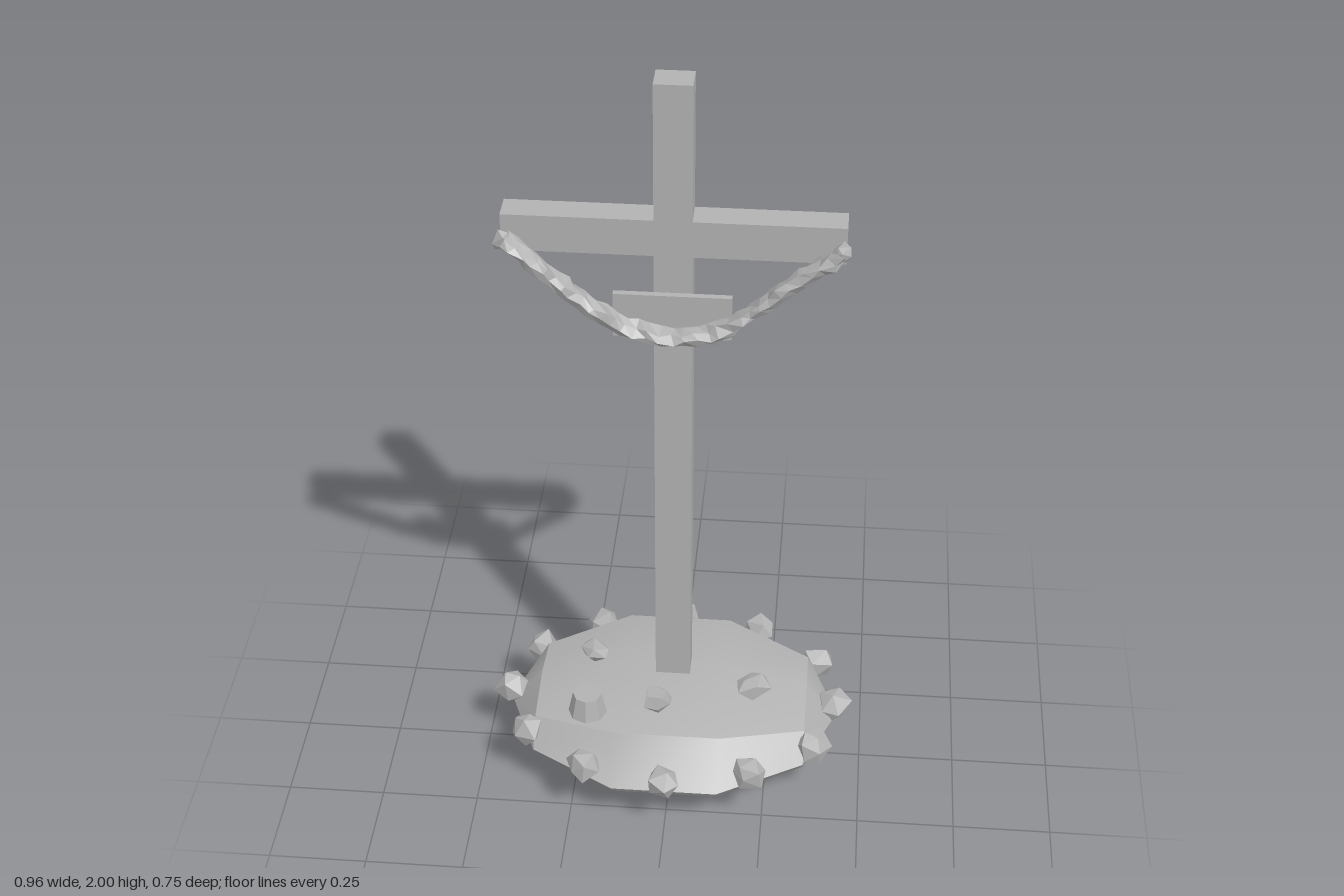
import * as THREE from 'three';
import { toCreasedNormals } from 'three/addons/utils/BufferGeometryUtils.js';

// repeatable noise in -1..1, the same for coincident vertices
function noise(x, y, z, seed) {
  const q = (v) => Math.round(v * 2000);
  const s = Math.sin(q(x) * 12.9898 + q(y) * 78.233 + q(z) * 37.719 + seed * 4.137) * 43758.5453;
  return (s - Math.floor(s)) * 2 - 1;
}

function roughen(geometry, amount, seed) {
  const p = geometry.attributes.position;
  for (let i = 0; i < p.count; i++) {
    const x = p.getX(i), y = p.getY(i), z = p.getZ(i);
    p.setXYZ(i,
      x + amount * noise(x, y, z, seed),
      y + amount * noise(x, y, z, seed + 1),
      z + amount * noise(x, y, z, seed + 2));
  }
  const flat = geometry.index ? geometry.toNonIndexed() : geometry;
  flat.computeVertexNormals();
  return flat;
}

export function createModel() {
  const model = new THREE.Group();
  model.name = 'moundCross';
  const stone = new THREE.MeshStandardMaterial({ color: 0xb2b2b2 });
  stone.name = 'grey stone';

  function add(name, geometry, x = 0, y = 0, z = 0, parent = model) {
    const mesh = new THREE.Mesh(geometry, stone);
    mesh.name = name;
    mesh.position.set(x, y, z);
    parent.add(mesh);
    return mesh;
  }

  // mound: coarse ellipsoid with its poles on the x axis
  const mound = new THREE.SphereGeometry(1, 8, 5);
  mound.rotateZ(Math.PI / 2);
  mound.scale(0.435, 0.153, 0.35);
  add('mound', toCreasedNormals(mound, 0.5), 0, 0.1465, 0);

  // cross and the plaque below its arms
  add('post', new THREE.BoxGeometry(0.09, 1.76, 0.072), 0, 1.12, -0.003);
  add('crossbar', new THREE.BoxGeometry(0.8, 0.094, 0.0715), 0, 1.607, -0.003);
  add('plaque', new THREE.BoxGeometry(0.28, 0.115, 0.016), 0, 1.408, 0.046);

  // ring of stones round the rim
  const stones = new THREE.Group();
  stones.name = 'stones';
  model.add(stones);
  const addStone = (name, x, y, z, r, seed, squash = 1) => {
    const rock = roughen(new THREE.IcosahedronGeometry(r, 0), r * 0.22, seed);
    rock.scale(1, squash, 1);
    const mesh = add(name, rock, x, y, z, stones);
    mesh.rotation.y = seed * 1.3;
  };
  for (let i = 0; i < 12; i++) {
    const a = (i / 12) * Math.PI * 2;
    addStone('rimStone', 0.43 * Math.cos(a), 0.18, 0.33 * Math.sin(a), 0.044, i + 1);
  }

  // stones lying on top, one of them a cut drum
  addStone('topStone', -0.03, 0.295, 0.145, 0.044, 21, 0.75);
  addStone('topStone', 0.21, 0.295, 0.07, 0.044, 22, 0.75);
  addStone('topStone', -0.21, 0.295, -0.03, 0.04, 23, 0.75);
  const drum = new THREE.CylinderGeometry(0.037, 0.05, 0.06, 8).toNonIndexed();
  drum.computeVertexNormals();
  add('drumStone', drum, -0.21, 0.292, 0.17, stones);

  // garland hanging between the arm ends, with a knot at each end
  const path = new THREE.CatmullRomCurve3([
    [-0.39, 1.61], [-0.3, 1.535], [-0.2, 1.445], [-0.1, 1.385], [0, 1.365],
    [0.1, 1.385], [0.2, 1.45], [0.3, 1.545], [0.395, 1.61],
  ].map(([x, y]) => new THREE.Vector3(x, y, 0)));
  const garland = new THREE.TubeGeometry(path, 32, 0.02, 7);
  garland.scale(1, 1, 1.5);
  add('garland', roughen(garland, 0.007, 5), 0, 0, 0.071);
  for (const side of [-1, 1]) {
    const knot = roughen(new THREE.IcosahedronGeometry(0.027, 0), 0.006, 8 + side);
    add('garlandKnot', knot, side * 0.39, 1.608, 0.069);
  }

  return model;
}
